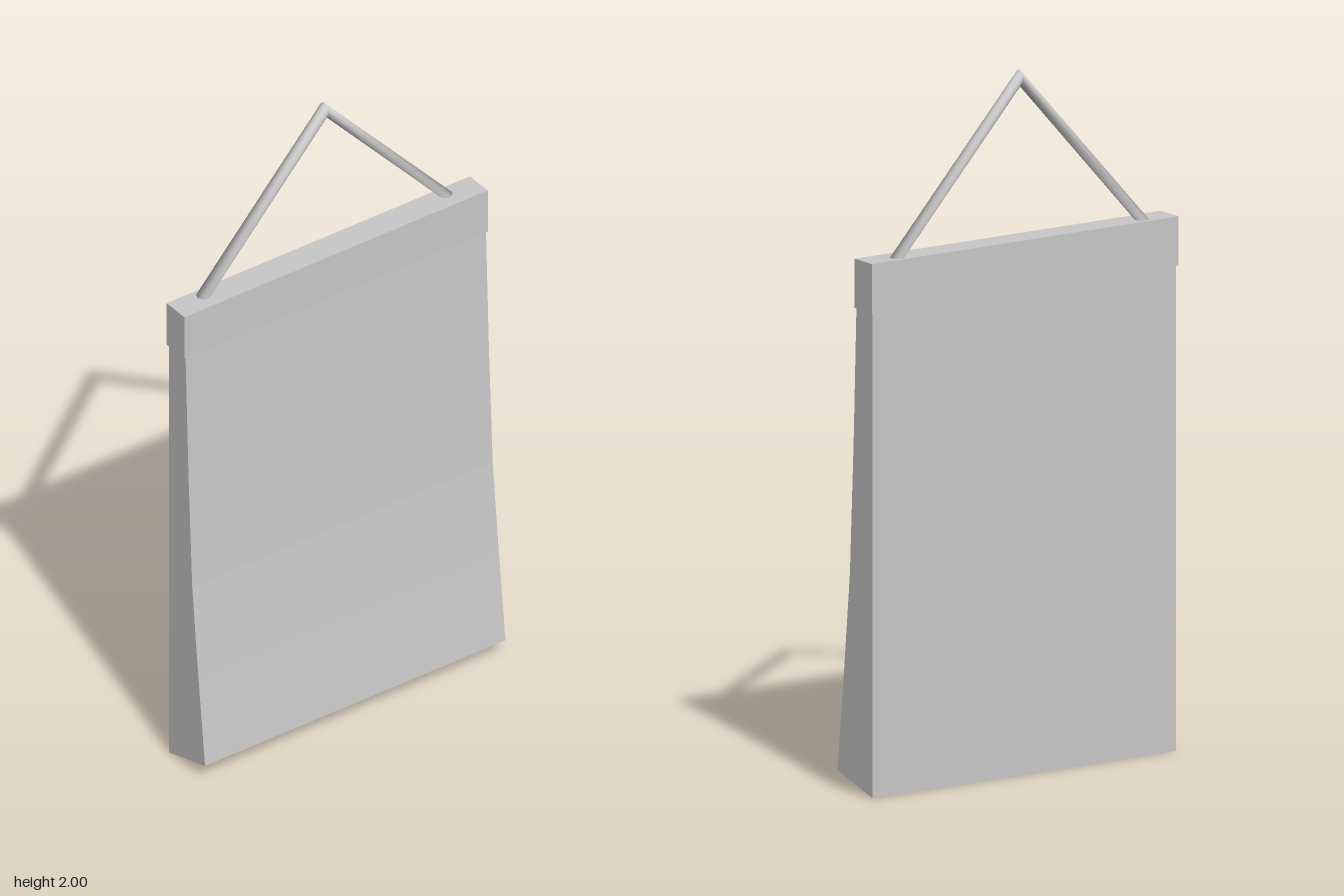
import * as THREE from 'three';

export function createModel() {
  const group = new THREE.Group();
  const grey = new THREE.MeshStandardMaterial({ color: 0xc8c8c8 });
  grey.name = 'light grey';

  const add = (name, geometry, x, y, z) => {
    const mesh = new THREE.Mesh(geometry, grey);
    mesh.name = name;
    mesh.position.set(x, y, z);
    group.add(mesh);
    return mesh;
  };

  // Hanging pad: side profile (z, y) that flares forward at the bottom, swept across x
  const width = 1.03;
  const profile = [
    [-0.082, 0], [0.087, 0.05], [0.055, 0.34], [0.027, 0.62],
    [0.009, 1.0], [-0.005, 1.4], [-0.082, 1.4],
  ].map(([z, y]) => new THREE.Vector2(z, y));
  const pad = new THREE.ExtrudeGeometry(new THREE.Shape(profile), { depth: width, bevelEnabled: false });
  pad.rotateY(-Math.PI / 2);
  add('pagePad', pad, width / 2, 0, 0);

  // Binding bar along the top
  add('bindingBar', new THREE.BoxGeometry(1.04, 0.14, 0.084), 0, 1.45, -0.045);

  // Hanger: half ring of two straight segments, forming a peak
  const hanger = add('hanger', new THREE.TorusGeometry(0.415, 0.02, 12, 2, Math.PI), 0, 1.52, -0.058);
  hanger.scale.y = 0.48 / 0.435;

  return group;
}
